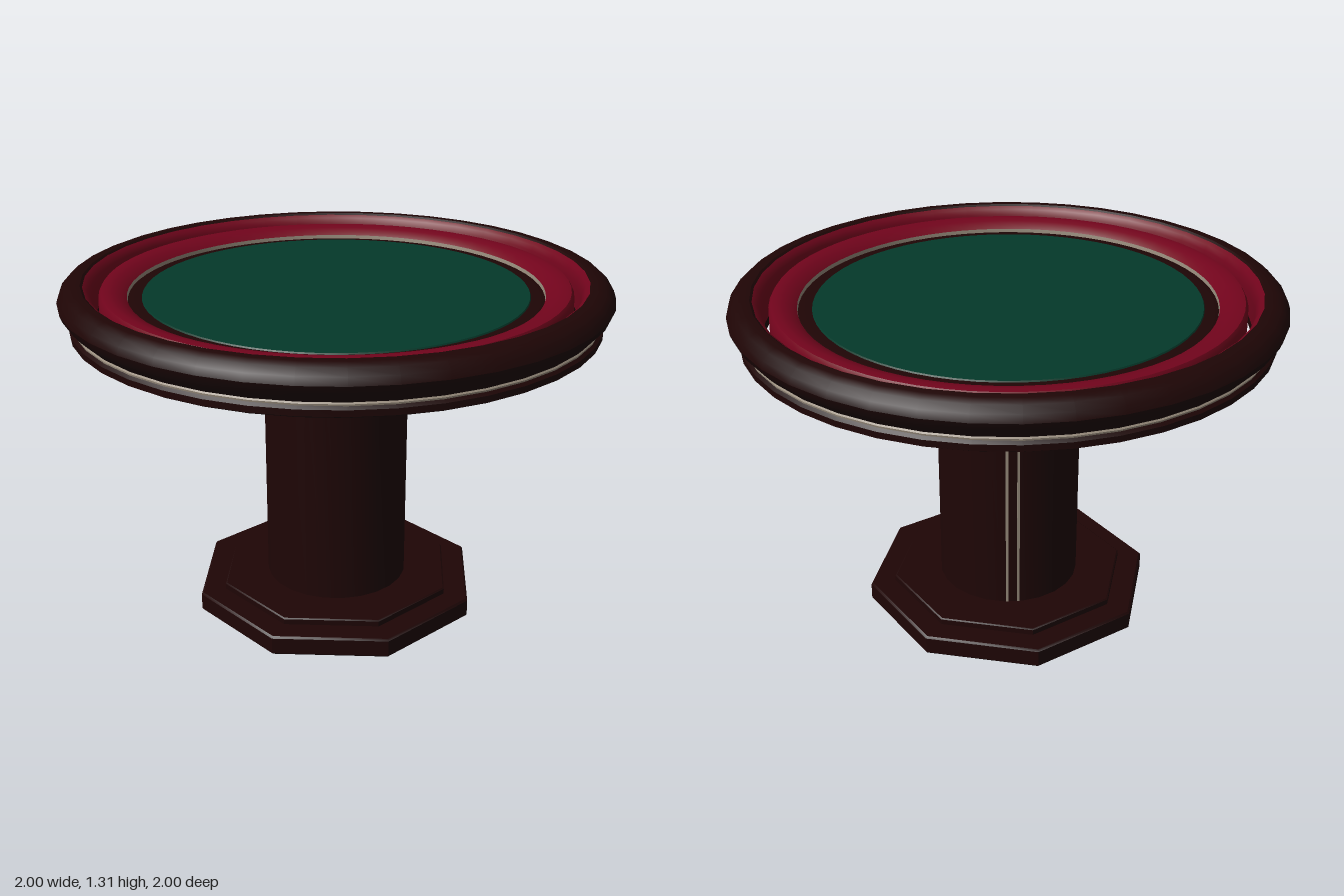
import * as THREE from 'three';
import { toCreasedNormals } from 'three/addons/utils/BufferGeometryUtils.js';

const material = (name, color) => {
  const m = new THREE.MeshStandardMaterial({ color });
  m.name = name;
  return m;
};

export function createModel() {
  const table = new THREE.Group();
  table.name = 'roundGameTable';
  const wood = material('darkWood', 0x1e0505);
  const crimson = material('crimsonPadding', 0x72041c);
  const felt = material('greenFelt', 0x04392a);
  const pale = material('paleTrim', 0x988c7c);

  const add = (name, geometry, mat) => {
    const mesh = new THREE.Mesh(geometry, mat);
    mesh.name = name;
    table.add(mesh);
    return mesh;
  };

  // Revolves a counter-clockwise (radius, height) profile, with sharp corners kept
  const turn = (name, profile, mat, sides = 40) => {
    const points = profile.map(([r, y]) => new THREE.Vector2(r, y));
    const g = new THREE.LatheGeometry(points, sides, Math.PI / sides);
    return add(name, toCreasedNormals(g, 0.6), mat);
  };

  // Octagonal foot in two steps; across-flats sizes become corner radii
  const corner = 1 / Math.cos(Math.PI / 8);
  const octagon = (profile) => profile.map(([r, y]) => [r * corner, y]);
  turn('footLower', octagon([
    [0.495, 0.06], [0.495, 0], [0.51, 0], [0.515, 0.006], [0.515, 0.068],
    [0.508, 0.075], [0.4, 0.075],
  ]), wood, 8);
  turn('footUpper', octagon([
    [0.425, 0.075], [0.425, 0.096], [0.42, 0.1], [0.24, 0.1],
  ]), wood, 8);

  // Recessed felt sole with a round opening into the hollow column
  const sole = new THREE.Shape();
  for (let i = 0; i < 8; i++) {
    const a = (i + 0.5) * Math.PI / 4;
    const x = 0.497 * corner * Math.cos(a);
    const y = 0.497 * corner * Math.sin(a);
    if (i === 0) sole.moveTo(x, y);
    else sole.lineTo(x, y);
  }
  sole.closePath();
  const opening = new THREE.Path();
  opening.absarc(0, 0, 0.25, 0, Math.PI * 2, true);
  sole.holes.push(opening);
  add('footSole', new THREE.ShapeGeometry(sole, 24).rotateX(Math.PI / 2), felt).position.y = 0.06;

  // Column, with its inner wall closed at the top
  turn('column', [[0.272, 0.1], [0.272, 1.02]], wood, 24);
  turn('columnInside', [[0, 1.0], [0.252, 1.0], [0.252, 0.06]], wood, 24);

  // Pair of fine upright inlays on the back of the column
  for (const degrees of [26, 35]) {
    const a = THREE.MathUtils.degToRad(180 - degrees);
    const strip = add('columnInlay', new THREE.BoxGeometry(0.01, 0.905, 0.005), pale);
    strip.position.set(0.271 * Math.sin(a), 0.553, 0.271 * Math.cos(a));
    strip.rotation.y = a;
  }

  // Rounded collar under the top
  turn('collar', [
    [0.25, 1.006], [0.3, 1.008], [0.36, 1.017], [0.41, 1.033], [0.45, 1.053], [0.48, 1.075],
  ], wood, 48);

  // Table body: stepped disc carrying the padded ring
  turn('tableBody', [
    [0.4, 1.07], [0.778, 1.07], [0.785, 1.075], [0.785, 1.14], [0.845, 1.14], [0.855, 1.16],
  ], wood, 64);
  turn('paddedRing', [
    [0.855, 1.16], [0.858, 1.21], [0.856, 1.262], [0.846, 1.278], [0.825, 1.281],
    [0.795, 1.274], [0.77, 1.262], [0.757, 1.252],
  ], crimson, 64);

  // Playing surface: wood border, thin trim and felt
  turn('paddingTrim', [[0.757, 1.252], [0.755, 1.238]], pale, 64);
  turn('surfaceBorder', [[0.755, 1.238], [0.74, 1.242], [0.7, 1.242]], wood, 64);
  turn('playingSurface', [[0.705, 1.242], [0.702, 1.247], [0, 1.247]], felt, 64);

  // Outer rail: rounded wood, thin trim, lower lip and padded inner face
  turn('railWood', [
    [0.953, 1.181], [0.972, 1.2], [0.994, 1.226], [1.003, 1.25], [0.994, 1.276],
    [0.972, 1.297], [0.945, 1.308], [0.918, 1.308], [0.91, 1.302],
  ], wood);
  turn('railTrim', [[0.956, 1.17], [0.957, 1.176], [0.953, 1.181]], pale);
  turn('railLip', [
    [0.882, 1.165], [0.884, 1.132], [0.955, 1.132], [0.967, 1.139], [0.967, 1.161], [0.956, 1.17],
  ], wood);
  turn('railPadding', [
    [0.91, 1.302], [0.896, 1.291], [0.886, 1.272], [0.882, 1.24], [0.882, 1.165],
  ], crimson);

  return table;
}
